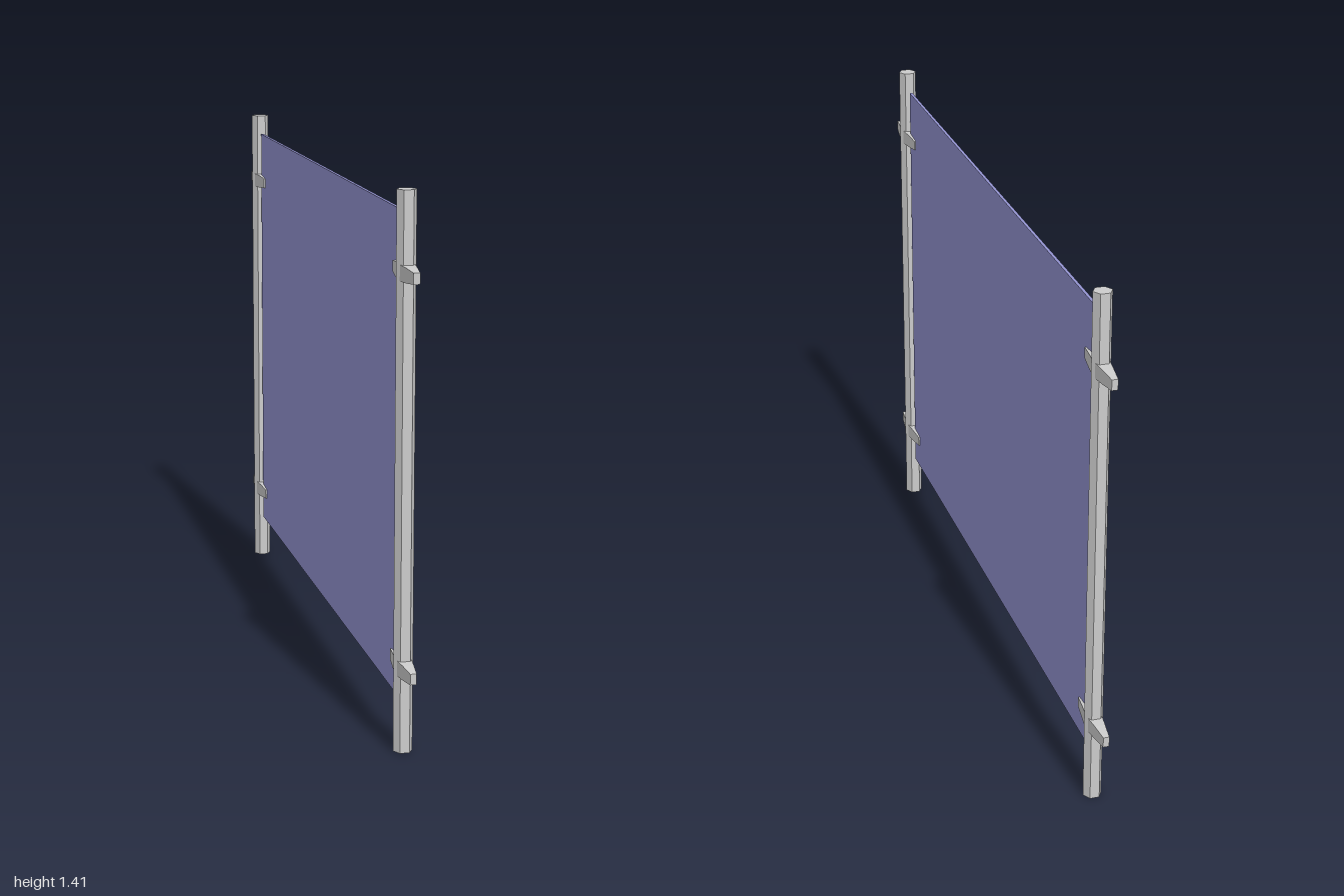
import * as THREE from 'three';

const grey = new THREE.MeshStandardMaterial({ color: 0xcccccc, flatShading: true });
const blue = new THREE.MeshStandardMaterial({ color: 0x9494d2 });

// Bar along z that swells towards its middle
function bulgedBar() {
  const geometry = new THREE.BoxGeometry(0.04, 0.04, 0.2, 1, 1, 4);
  const p = geometry.attributes.position;
  for (let i = 0; i < p.count; i++) {
    const t = Math.abs(p.getZ(i)) / 0.1;
    p.setX(i, p.getX(i) * (1 - 0.6 * t));
    p.setY(i, p.getY(i) * (1 - 0.3 * t * t));
  }
  geometry.computeVertexNormals();
  return geometry;
}

export function createModel() {
  const model = new THREE.Group();
  const add = (name, geometry, material, y, z) => {
    const mesh = new THREE.Mesh(geometry, material);
    mesh.name = name;
    mesh.position.set(0, y, z);
    model.add(mesh);
  };

  // Thin upright panel
  add('panel', new THREE.BoxGeometry(0.008, 1.225, 1.72), blue, 0.743, 0);

  // Hexagonal posts with corners pointing sideways
  const post = new THREE.CylinderGeometry(0.025, 0.025, 1.41, 6);
  post.rotateY(Math.PI / 2);
  const clamp = bulgedBar();

  for (const [end, side] of [['front', 1], ['back', -1]]) {
    add(end + 'Post', post, grey, 0.705, side * 0.9);
    // Clamps joining the post to the panel
    add(end + 'LowerClamp', clamp, grey, 0.22, side * 0.9);
    add(end + 'UpperClamp', clamp, grey, 1.21, side * 0.9);
  }
  return model;
}
